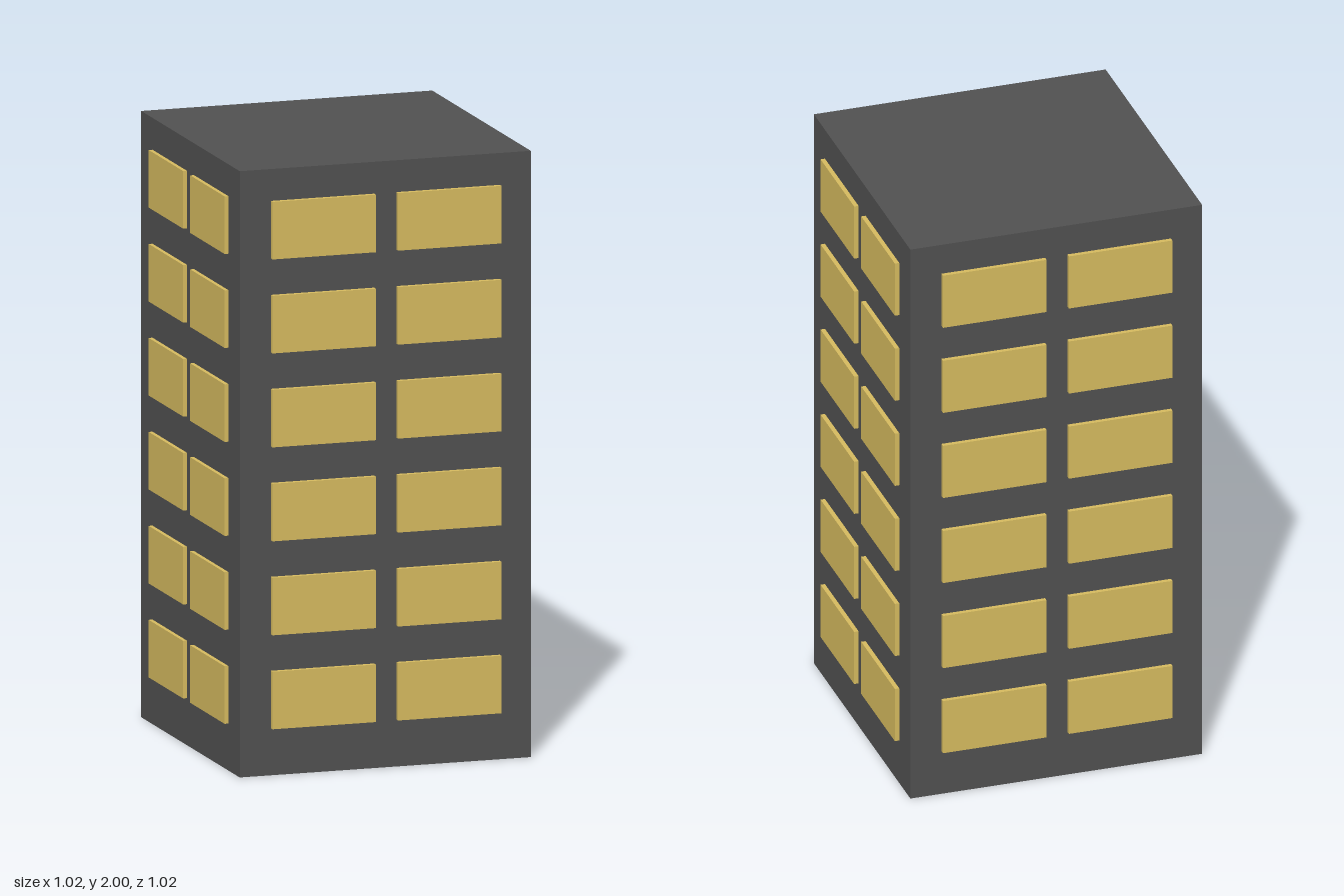
import * as THREE from 'three';

const wallMaterial = new THREE.MeshStandardMaterial({ color: 0x505050 });
const windowMaterial = new THREE.MeshStandardMaterial({ color: 0xd4b95e });

function addBox(parent, name, material, size, position) {
  const mesh = new THREE.Mesh(new THREE.BoxGeometry(...size), material);
  mesh.name = name;
  mesh.position.set(...position);
  parent.add(mesh);
}

export function createModel() {
  const tower = new THREE.Group();
  tower.name = 'towerBlock';

  // Main block
  addBox(tower, 'buildingBody', wallMaterial, [0.992, 2, 0.992], [-0.001, 1, -0.002]);

  // Six floors with two slightly raised windows on each face
  const floors = 6, floorHeight = 0.31, firstFloor = 0.25;
  const width = 0.352, sideWidth = 0.346, height = 0.19, depth = 0.04;
  const offset = 0.492; // centre of the window panels from the middle of the block
  for (let floor = 0; floor < floors; floor++) {
    const y = firstFloor + floor * floorHeight;
    for (const face of [-1, 1]) {
      const end = face > 0 ? 'front' : 'back';
      const side = face > 0 ? 'left' : 'right';
      for (const column of [-1, 1]) {
        addBox(tower, end + 'Window', windowMaterial,
          [width, height, depth], [column * 0.214 - 0.001, y, face * offset - 0.001]);
        addBox(tower, side + 'Window', windowMaterial,
          [depth, height, sideWidth], [face * (offset - 0.002), y, column * 0.209 - 0.002]);
      }
    }
  }
  return tower;
}
